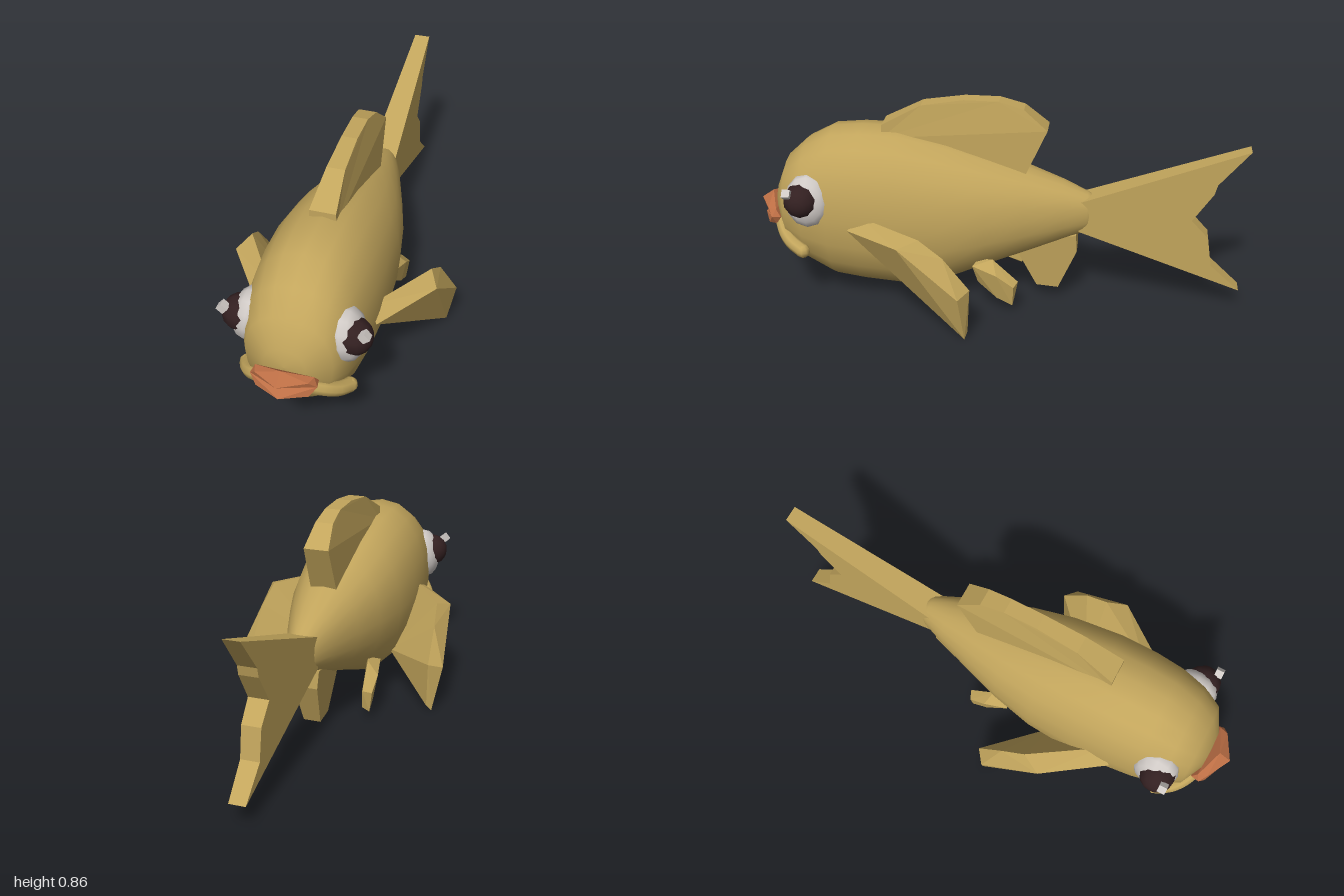
import * as THREE from 'three';
import { ConvexGeometry } from 'three/addons/geometries/ConvexGeometry.js';

const mat = (name, color) => {
  const m = new THREE.MeshStandardMaterial({ color });
  m.name = name;
  return m;
};

// Closed smooth body from rings [z, bottom, top, half width], front to back
function loft(rings, sides) {
  const pos = [], idx = [];
  const soft = v => Math.sign(v) * Math.abs(v) ** 0.92;
  for (const [z, y0, y1, rx] of rings) {
    for (let j = 0; j < sides; j++) {
      const a = (j / sides) * Math.PI * 2;
      pos.push(rx * soft(Math.cos(a)), (y0 + y1) / 2 + ((y1 - y0) / 2) * soft(Math.sin(a)), z);
    }
  }
  for (let i = 0; i < rings.length - 1; i++) {
    for (let j = 0; j < sides; j++) {
      const k = (j + 1) % sides;
      const a = i * sides + j, b = a + sides, c = (i + 1) * sides + k, d = i * sides + k;
      idx.push(a, b, c, a, c, d);
    }
  }
  const g = new THREE.BufferGeometry();
  g.setAttribute('position', new THREE.Float32BufferAttribute(pos, 3));
  g.setIndex(idx);
  g.computeVertexNormals();
  return g;
}

// Upright fin on the centre line: outline of [z, y], half width as a function of y and z
function centreFin(outline, halfWidth) {
  const shape = new THREE.Shape(outline.map(p => new THREE.Vector2(...p)));
  const g = new THREE.ExtrudeGeometry(shape, { depth: 2, bevelEnabled: false });
  g.translate(0, 0, -1).rotateY(-Math.PI / 2);
  const p = g.attributes.position;
  for (let i = 0; i < p.count; i++) p.setX(i, p.getX(i) * halfWidth(p.getY(i), p.getZ(i)));
  g.computeVertexNormals();
  return g;
}

// Convex solid from points, with x scaled by s for mirroring
const hull = (pts, s = 1) => new ConvexGeometry(pts.map(([x, y, z]) => new THREE.Vector3(x * s, y, z)));

export function createModel() {
  const model = new THREE.Group();
  model.name = 'fish';
  const gold = mat('gold scales', 0xc2a55c);
  const orange = mat('orange lips', 0xbd6f45);
  const white = mat('eye white', 0xd0cac6);
  const dark = mat('dark brown pupil', 0x332021);
  const add = (name, geo, material) => {
    const m = new THREE.Mesh(geo, material);
    m.name = name;
    model.add(m);
    return m;
  };

  // Body
  add('body', loft([
    [0.91, 0.4, 0.4, 0], [0.905, 0.32, 0.48, 0.08], [0.86, 0.21, 0.59, 0.165],
    [0.78, 0.135, 0.665, 0.205], [0.67, 0.07, 0.725, 0.225], [0.55, 0.055, 0.737, 0.237],
    [0.4, 0.045, 0.735, 0.24], [0.2, 0.08, 0.69, 0.228], [0.03, 0.155, 0.635, 0.195],
    [-0.12, 0.215, 0.585, 0.15], [-0.27, 0.275, 0.53, 0.1], [-0.37, 0.315, 0.485, 0.062],
    [-0.41, 0.33, 0.465, 0.035], [-0.42, 0.4, 0.4, 0],
  ], 20), gold);

  // Fins on the centre line
  const lerp = THREE.MathUtils.mapLinear, clamp = THREE.MathUtils.clamp;
  add('dorsalFin', centreFin(
    [[0.46, 0.7], [0.46, 0.755], [0.3, 0.84], [0.13, 0.868], [-0.01, 0.868], [-0.11, 0.84], [-0.205, 0.76], [-0.12, 0.57], [0.1, 0.6]],
    y => clamp(lerp(y, 0.74, 0.87, 0.054, 0.031), 0.03, 0.054)), gold);
  add('tailFin', centreFin(
    [[-0.34, 0.46], [-1, 0.705], [-0.88, 0.56], [-0.87, 0.52], [-0.79, 0.4], [-0.86, 0.325], [-0.88, 0.2], [-1, 0.09], [-0.34, 0.33]],
    (y, z) => lerp(z, -0.36, -1, 0.056, 0.033)), gold);
  add('analFin', centreFin(
    [[-0.08, 0.28], [-0.1, 0.2], [-0.17, 0.062], [-0.26, 0.055], [-0.335, 0.235], [-0.33, 0.31]],
    y => lerp(y, 0.05, 0.3, 0.035, 0.055)), gold);

  // Lips: two wedges that part at the front
  const lip = (front, rim, back, inner, cornerY) => {
    const pts = [[0, ...front], [0, ...rim], [0, ...back], [0, ...inner]];
    for (const s of [-1, 1]) {
      pts.push([s * 0.1, cornerY, 0.94], [s * 0.11, cornerY, 0.905], [s * 0.126, 0.353, 0.92], [s * 0.12, 0.353, 0.885]);
    }
    return hull(pts);
  };
  add('upperLip', lip([0.385, 0.995], [0.42, 0.945], [0.37, 0.9], [0.353, 0.95], 0.383), orange);
  add('lowerLip', lip([0.32, 0.985], [0.285, 0.945], [0.335, 0.9], [0.353, 0.95], 0.318), orange);

  // Drooping fold around the mouth
  const half = [[0.06, 0.325, 0.895], [0.125, 0.3, 0.87], [0.17, 0.27, 0.83], [0.2, 0.245, 0.775]];
  const path = [...half.map(([x, y, z]) => [-x, y, z]).reverse(), ...half].map(p => new THREE.Vector3(...p));
  add('mouthFold', new THREE.TubeGeometry(new THREE.CatmullRomCurve3(path), 24, 0.029, 8), gold);

  for (const s of [1, -1]) {
    const side = s > 0 ? 'left' : 'right';
    add(side + 'MouthCorner', new THREE.SphereGeometry(0.029, 8, 6), gold).position.set(s * 0.2, 0.245, 0.775);

    // Eye with pupil and glint
    const eye = add(side + 'Eye', new THREE.SphereGeometry(1, 12, 8).rotateZ(Math.PI / 2), white);
    eye.scale.set(0.072, 0.112, 0.095);
    eye.position.set(s * 0.18, 0.467, 0.742);
    eye.rotation.z = s * 0.15;
    const pupil = add(side + 'Pupil', new THREE.SphereGeometry(0.072, 10, 8).rotateZ(Math.PI / 2), dark);
    pupil.position.set(s * 0.211, 0.48, 0.762);
    const glint = add(side + 'Glint', new THREE.BoxGeometry(0.032, 0.032, 0.032), white);
    glint.position.set(s * 0.263, 0.528, 0.803);
    glint.rotation.z = s * 0.7;

    // Pectoral fin: outer face, then inner face
    add(side + 'PectoralFin', hull([
      [0.24, 0.37, 0.575], [0.41, 0.39, 0.34], [0.443, 0.2, 0.1], [0.405, 0.005, 0.08], [0.21, 0.155, 0.3],
      [0.2, 0.41, 0.52], [0.37, 0.416, 0.26], [0.385, 0.35, 0.165], [0.39, 0.22, 0.06], [0.385, 0.03, 0.07], [0.16, 0.17, 0.28],
    ], s), gold);

    // Pelvic fin
    add(side + 'PelvicFin', hull([
      [0.18, 0.21, 0.08], [0.2, 0.18, -0.02], [0.197, 0.13, -0.09], [0.185, 0.042, -0.085], [0.18, 0.07, -0.02], [0.16, 0.13, 0.06],
      [0.13, 0.22, 0.06], [0.15, 0.23, 0], [0.16, 0.14, -0.105], [0.155, 0.06, -0.09], [0.13, 0.12, 0.04],
    ], s), gold);
  }
  return model;
}
